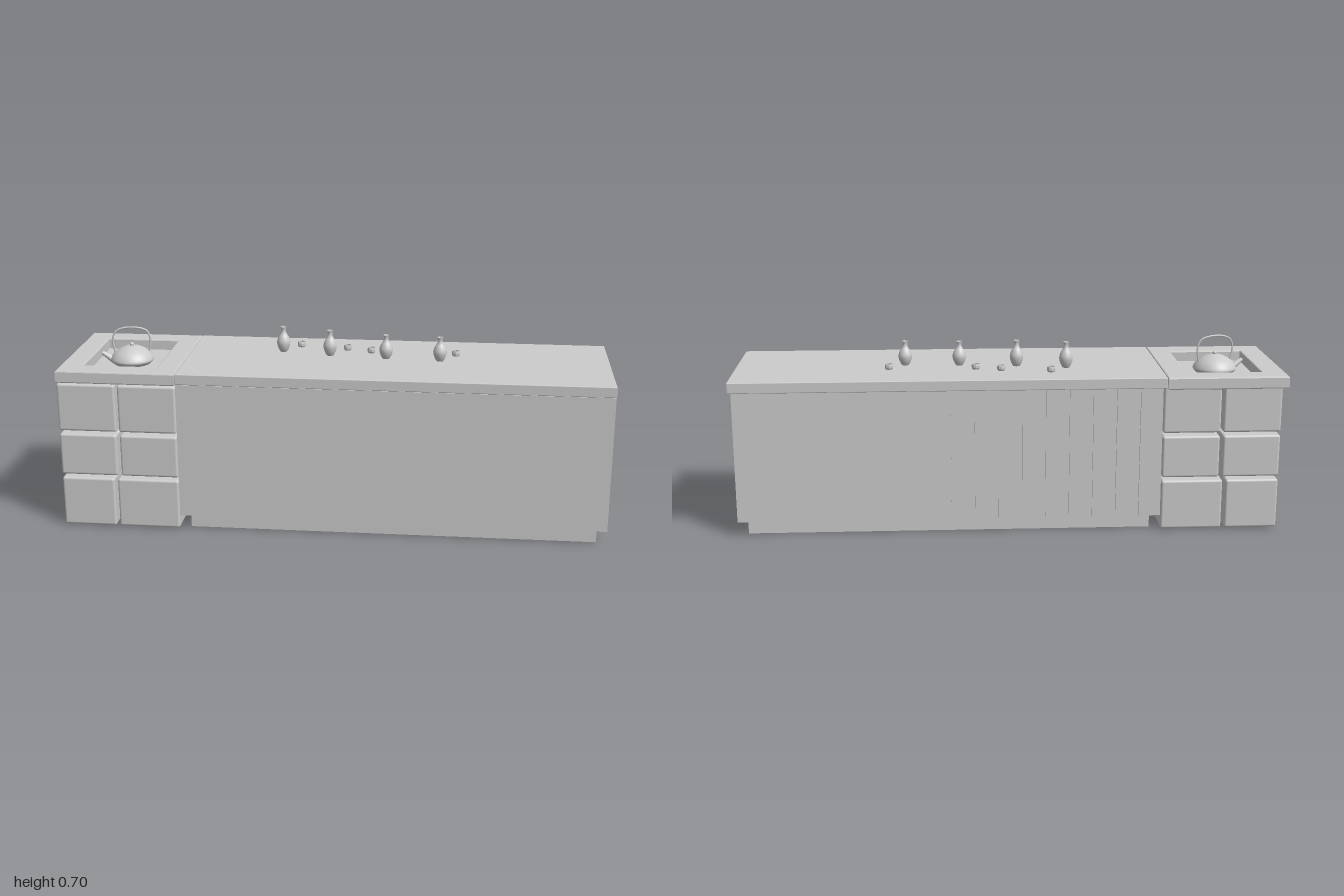
import * as THREE from 'three';
import { RoundedBoxGeometry } from 'three/addons/geometries/RoundedBoxGeometry.js';

const grey = new THREE.MeshStandardMaterial({ color: 0xcccccc });
const greyDouble = new THREE.MeshStandardMaterial({ color: 0xcccccc, side: THREE.DoubleSide });

function add(parent, name, geometry, material = grey) {
  const mesh = new THREE.Mesh(geometry, material);
  mesh.name = name;
  parent.add(mesh);
  return mesh;
}

// Box given by its limits; a radius above 0 softens the edges
function box(parent, name, [x0, x1], [y0, y1], [z0, z1], radius = 0) {
  const size = [x1 - x0, y1 - y0, z1 - z0];
  const geometry = radius ? new RoundedBoxGeometry(...size, 2, radius) : new THREE.BoxGeometry(...size);
  const mesh = add(parent, name, geometry);
  mesh.position.set((x0 + x1) / 2, (y0 + y1) / 2, (z0 + z1) / 2);
  return mesh;
}

// Counter-clockwise rectangle on the ground plan
function rect(PathType, [x0, x1], [z0, z1]) {
  return new PathType([[x0, -z1], [x1, -z1], [x1, -z0], [x0, -z0]].map(p => new THREE.Vector2(...p)));
}

// Upright rectangular frame, open above and below
function frame(parent, name, outerX, outerZ, innerX, innerZ, [y0, y1], bevel = 0) {
  const shape = rect(THREE.Shape, outerX, outerZ);
  shape.holes.push(rect(THREE.Path, innerX, innerZ));
  const geometry = new THREE.ExtrudeGeometry(shape, {
    depth: y1 - y0 - 2 * bevel, bevelEnabled: bevel > 0, bevelSize: bevel,
    bevelThickness: bevel, bevelOffset: -bevel, bevelSegments: 2,
  });
  geometry.rotateX(-Math.PI / 2);
  const mesh = add(parent, name, geometry, greyDouble);
  mesh.position.y = y0 + bevel;
  return mesh;
}

// Smooth lathe profile through a few points
function smooth(points, count) {
  return new THREE.SplineCurve(points.map(p => new THREE.Vector2(...p))).getPoints(count);
}

function createKettle() {
  const kettle = new THREE.Group();
  kettle.name = 'kettle';
  // Squat domed body
  const dome = smooth([
    [0.068, 0], [0.078, 0.01], [0.08, 0.02], [0.067, 0.04], [0.045, 0.056], [0.02, 0.066], [0.001, 0.068],
  ], 20);
  add(kettle, 'kettleBody', new THREE.LatheGeometry([new THREE.Vector2(0, 0), ...dome], 32));
  add(kettle, 'lidKnob', new THREE.SphereGeometry(0.008, 14, 10)).position.y = 0.072;

  // Tapered spout
  const spout = add(kettle, 'spout', new THREE.CylinderGeometry(0.007, 0.014, 0.058, 14, 1, true), greyDouble);
  spout.position.set(-0.088, 0.026, 0);
  spout.rotation.z = 0.95;

  // Arched handle
  const path = new THREE.CatmullRomCurve3([
    [-0.062, 0.043], [-0.07, 0.085], [-0.062, 0.118], [-0.035, 0.134],
    [0.025, 0.135], [0.058, 0.122], [0.07, 0.09], [0.064, 0.041],
  ].map(([x, y]) => new THREE.Vector3(x, y, 0)));
  add(kettle, 'kettleHandle', new THREE.TubeGeometry(path, 40, 0.0035, 8));
  return kettle;
}

export function createModel() {
  const model = new THREE.Group();
  model.name = 'kitchenCounter';

  // Hollow cabinet on a recessed plinth, open underneath
  const innerX = [-0.523, 0.963], innerZ = [-0.148, 0.233];
  frame(model, 'cabinet', [-0.56, 0.999], [-0.175, 0.267], innerX, innerZ, [0.056, 0.561]);
  frame(model, 'plinth', [-0.525, 0.965], [-0.15, 0.235], innerX, innerZ, [0, 0.056]);

  // Vertical slats along the back
  const slats = 18, pitch = 1.559 / slats;
  for (let i = 0; i < slats; i++) {
    const x = -0.56 + i * pitch;
    box(model, 'backSlat', [x + (i ? 0.006 : 0), x + pitch - (i < slats - 1 ? 0.006 : 0)], [0.056, 0.561], [-0.185, -0.174]);
  }
  box(model, 'worktop', [-0.561, 1], [0.561, 0.6], [-0.266, 0.267], 0.003);

  // Stacked stone blocks, two in each row
  const rows = [
    { y: [0.004, 0.191], split: [-0.802, -0.79] },
    { y: [0.203, 0.361], split: [-0.786, -0.774] },
    { y: [0.373, 0.552], split: [-0.784, -0.775] },
  ];
  for (const { y, split } of rows) {
    box(model, 'stoneBlock', [-0.998, split[0]], y, [-0.19, 0.267], 0.009);
    box(model, 'stoneBlock', [split[1], -0.562], y, [-0.19, 0.267], 0.009);
  }

  // Stone top with a sunken tray
  frame(model, 'stoneTop', [-1, -0.563], [-0.266, 0.267], [-0.916, -0.643], [-0.185, 0.18], [0.555, 0.6], 0.005);
  box(model, 'trayFloor', [-0.925, -0.635], [0.552, 0.56], [-0.192, 0.187]);

  const kettle = createKettle();
  kettle.position.set(-0.78, 0.56, -0.002);
  kettle.rotation.y = 0.2;
  model.add(kettle);

  // Slim vases, two of them slightly shorter
  const vaseGeometry = new THREE.LatheGeometry([
    new THREE.Vector2(0, 0),
    ...smooth([[0.013, 0], [0.021, 0.016], [0.025, 0.036], [0.02, 0.055], [0.011, 0.071], [0.0085, 0.083], [0.011, 0.096]], 24),
    new THREE.Vector2(0.008, 0.095), new THREE.Vector2(0.006, 0.08), new THREE.Vector2(0, 0.078),
  ], 24);
  for (const [x, z, height] of [[-0.213, -0.074, 1], [-0.033, -0.038, 1], [0.178, -0.015, 0.94], [0.378, -0.003, 0.94]]) {
    const vase = add(model, 'vase', vaseGeometry);
    vase.position.set(x, 0.6, z);
    vase.scale.y = height;
  }

  // Small faceted cups
  const cupGeometry = new THREE.LatheGeometry([
    [0, 0], [0.0125, 0], [0.0155, 0.006], [0.0155, 0.014], [0.014, 0.02], [0.0115, 0.02], [0.0115, 0.004], [0, 0.003],
  ].map(p => new THREE.Vector2(...p)), 10);
  const cupMaterial = new THREE.MeshStandardMaterial({ color: 0xcccccc, flatShading: true });
  for (const [x, z] of [[-0.153, -0.144], [0.027, -0.114], [0.119, -0.087], [0.436, -0.074]]) {
    add(model, 'cup', cupGeometry, cupMaterial).position.set(x, 0.6, z);
  }
  return model;
}
